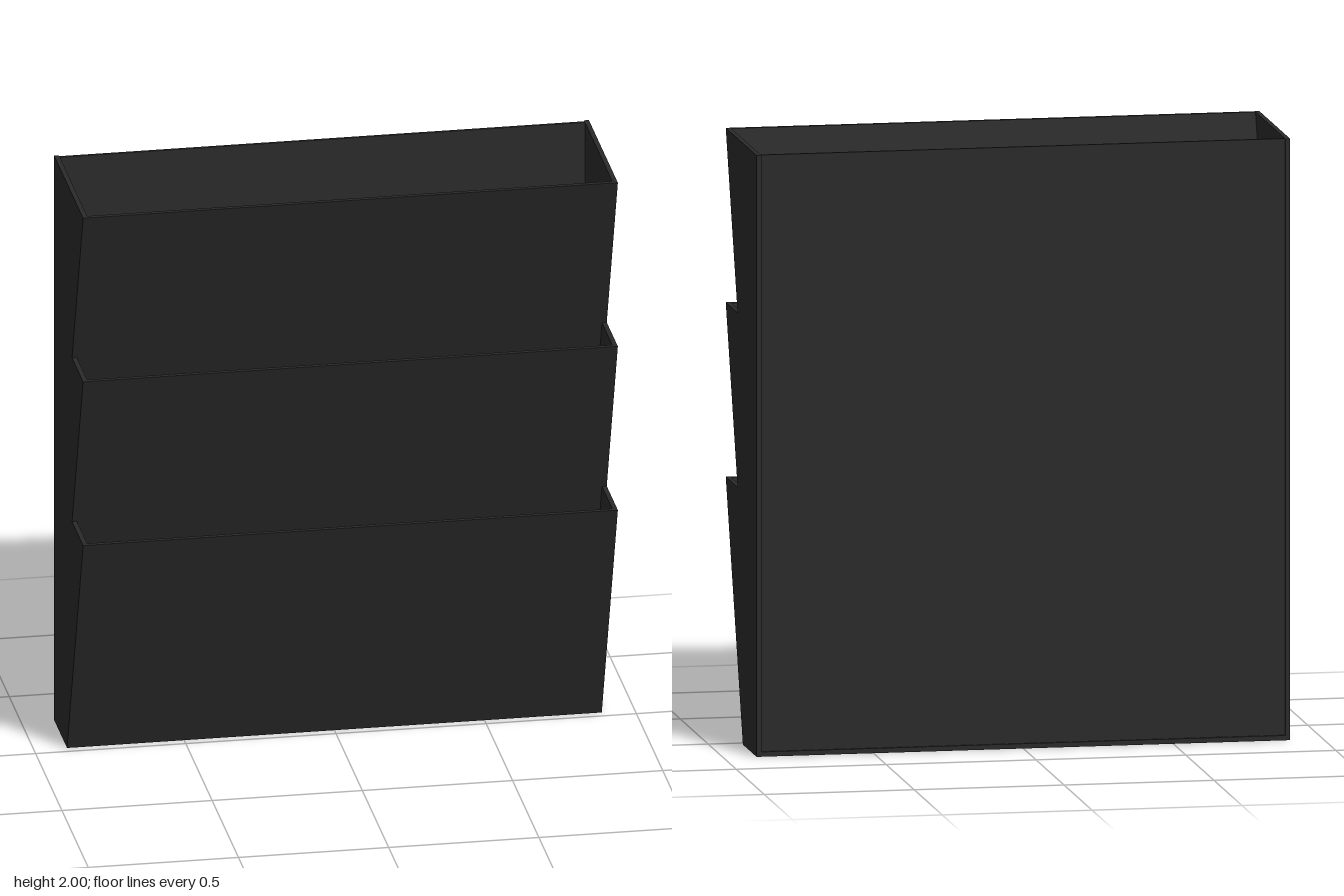
import * as THREE from 'three';

const HALF_W = 0.89, FRONT = 0.275, BACK = -0.275, T = 0.016;
const POCKET_H = 0.84, STEP = 0.58, FOOT_Z = -0.03;
const SLOPE = (FRONT - FOOT_Z) / POCKET_H;

// Extrudes a [z, y] profile along x, centred on the given x.
function profileMesh(name, points, width, x, material) {
  const shape = new THREE.Shape(points.map(([z, y]) => new THREE.Vector2(z, y)));
  const geo = new THREE.ExtrudeGeometry(shape, { depth: width, bevelEnabled: false });
  geo.rotateY(-Math.PI / 2);
  geo.translate(x + width / 2, 0, 0);
  const mesh = new THREE.Mesh(geo, material);
  mesh.name = name;
  return mesh;
}

export function createModel() {
  const group = new THREE.Group();
  group.name = 'tieredFileHolder';
  const black = new THREE.MeshStandardMaterial({ color: 0x2a2a2a });
  black.name = 'black';
  const innerW = 2 * (HALF_W - T);

  // Stepped side walls
  const stepZ = FRONT - STEP * SLOPE;
  const outline = [[BACK, 0], [FOOT_Z, 0], [FRONT, POCKET_H]];
  for (let i = 1; i < 3; i++) {
    const y = POCKET_H + (i - 1) * STEP;
    outline.push([stepZ, y], [FRONT, y + STEP]);
  }
  outline.push([BACK, 2]);
  for (const side of [-1, 1]) {
    group.add(profileMesh(side > 0 ? 'leftWall' : 'rightWall', outline, T, side * (HALF_W - T / 2), black));
  }

  // Back panel, set slightly in from the rim
  const back = new THREE.Mesh(new THREE.BoxGeometry(innerW, 2 - T, 0.01), black);
  back.name = 'backPanel';
  back.position.set(0, 1 + T / 2, BACK + 0.013);
  group.add(back);

  // Three identical pockets: a slanted front and a floor, bent from one sheet
  for (let i = 0; i < 3; i++) {
    const y = i * STEP;
    const rear = i === 0 ? BACK : BACK + 0.01;
    group.add(profileMesh('pocket' + (i + 1), [
      [rear, y], [FOOT_Z, y], [FRONT, y + POCKET_H], [FRONT - T, y + POCKET_H],
      [FOOT_Z - T + T * SLOPE, y + T], [rear, y + T],
    ], innerW, 0, black));
  }
  return group;
}
